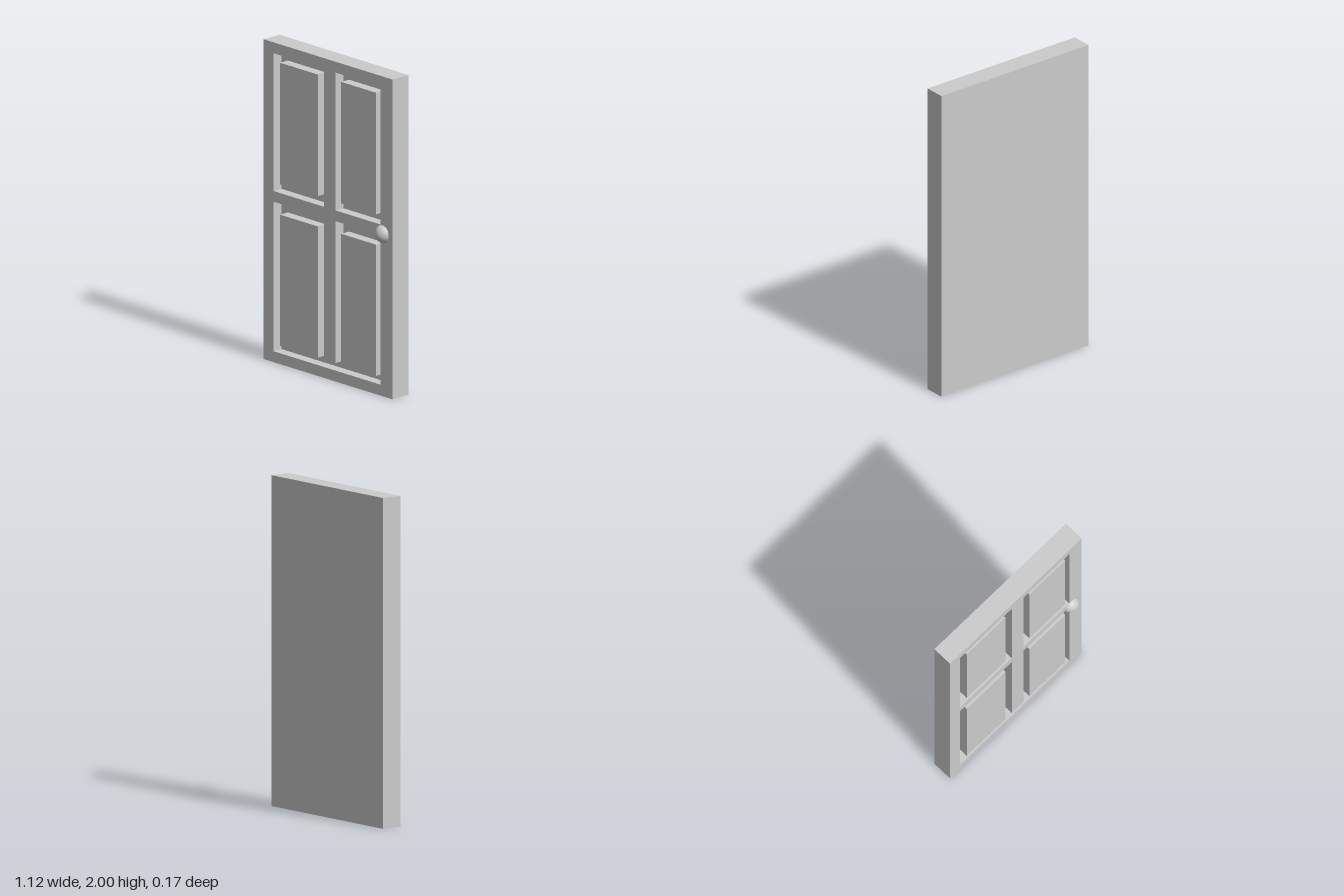
import * as THREE from 'three';

const material = new THREE.MeshStandardMaterial({ color: 0xcccccc });
const FRONT = 0.045, BACK = -0.087, FLOOR = -0.02; // z of front face, back face, recess floor

// Closed outline from corner points
const outline = (Type, points) => new Type(points.map(([x, y]) => new THREE.Vector2(x, y)));
const rect = (x0, y0, x1, y1) => [[x0, y0], [x1, y0], [x1, y1], [x0, y1]];

export function createModel() {
  const door = new THREE.Group();
  door.name = 'door';

  const add = (name, geometry, parent = door) => {
    const mesh = new THREE.Mesh(geometry, material);
    mesh.name = name;
    parent.add(mesh);
    return mesh;
  };
  const box = (name, x0, y0, x1, y1, z0, z1, parent) => {
    const mesh = add(name, new THREE.BoxGeometry(x1 - x0, y1 - y0, z1 - z0), parent);
    mesh.position.set((x0 + x1) / 2, (y0 + y1) / 2, (z0 + z1) / 2);
  };

  // Solid rear half of the door
  box('backSlab', -0.56, 0, 0.56, 2, BACK, FLOOR);

  // Front frame: two upper openings, and a lower pair joined under the middle stile
  const frame = outline(THREE.Shape, rect(-0.56, 0, 0.56, 2));
  frame.holes.push(
    outline(THREE.Path, rect(-0.475, 1.07, -0.035, 1.932)),
    outline(THREE.Path, rect(0.065, 1.07, 0.455, 1.932)),
    outline(THREE.Path, [
      [-0.475, 0.068], [0.455, 0.068], [0.455, 1.003], [0.065, 1.003],
      [0.065, 0.115], [-0.035, 0.115], [-0.035, 1.003], [-0.475, 1.003],
    ]),
  );
  const frameGeometry = new THREE.ExtrudeGeometry(frame, { depth: FRONT - FLOOR, bevelEnabled: false });
  add('frame', frameGeometry.translate(0, 0, FLOOR));

  // Raised panels, flush with the frame
  const panels = new THREE.Group();
  panels.name = 'panels';
  door.add(panels);
  for (const [side, x0, x1] of [['Right', -0.418, -0.088], ['Left', 0.115, 0.42]]) {
    box('upper' + side + 'Panel', x0, 1.125, x1, 1.885, FLOOR, FRONT, panels);
    box('lower' + side + 'Panel', x0, 0.115, x1, 0.935, FLOOR, FRONT, panels);
  }

  // Round knob, partly sunk into the frame
  add('knob', new THREE.SphereGeometry(0.058, 32, 20)).position.set(0.473, 1.013, 0.029);

  return door;
}
